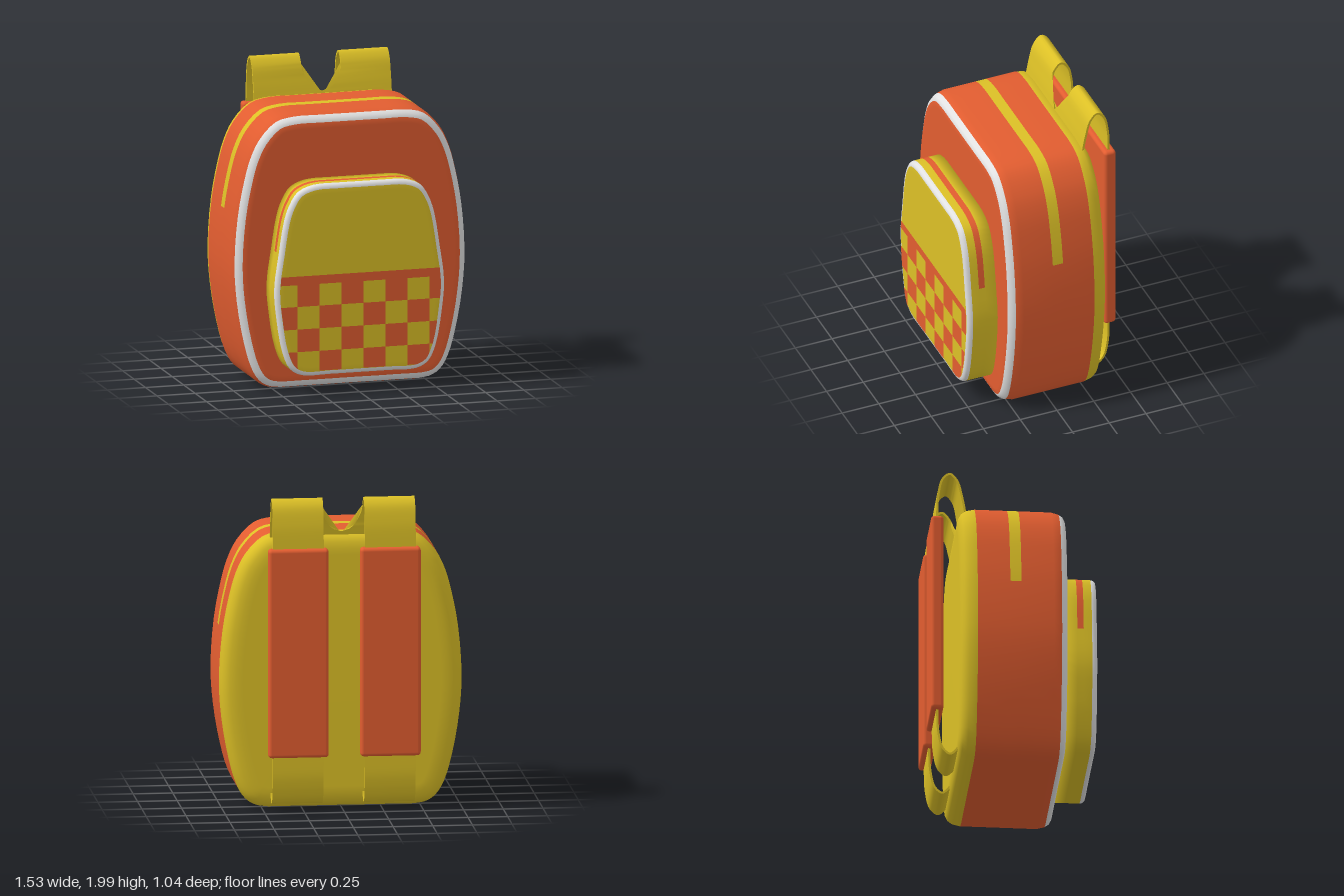
import * as THREE from 'three';
import { mergeGeometries, toCreasedNormals } from 'three/addons/utils/BufferGeometryUtils.js';
import { RoundedBoxGeometry } from 'three/addons/geometries/RoundedBoxGeometry.js';

const mat = (name, color) => new THREE.MeshStandardMaterial({ name, color });

// Closed outline, counter-clockwise, from the right half listed bottom to top
function outline(half, steps = 3) {
  const curve = new THREE.CatmullRomCurve3(half.map(([x, y]) => new THREE.Vector3(x, y, 0)), false, 'centripetal');
  const right = curve.getPoints((half.length - 1) * steps);
  const left = right.slice(1, -1).reverse().map((p) => new THREE.Vector3(-p.x, p.y, 0));
  return [...right, ...left];
}

// Move an outline inwards by d
function inset(pts, d) {
  const n = pts.length;
  return pts.map((p, i) => {
    const t = pts[(i + 1) % n].clone().sub(pts[(i + n - 1) % n]).normalize();
    return new THREE.Vector3(p.x - t.y * d, p.y + t.x * d, 0);
  });
}

// Loft rings [z, inset] with capped ends; paint(z, y) picks a material index for each face
function loft(pts, rings, paint) {
  const n = pts.length, pos = [], faces = [[], [], []];
  for (const [z, d] of rings) for (const p of inset(pts, d)) pos.push(p.x, p.y, z);
  const midY = (pts[0].y + pts[(n / 2)].y) / 2;
  const last = rings.length - 1, back = rings.length * n, front = back + 1;
  pos.push(0, midY, rings[0][0], 0, midY, rings[last][0]);
  for (let i = 0; i < n; i++) {
    const j = (i + 1) % n;
    for (let k = 0; k < last; k++) {
      const a = k * n + i, b = k * n + j;
      const m = paint((rings[k][0] + rings[k + 1][0]) / 2, (pts[i].y + pts[j].y) / 2, k);
      faces[m].push(a, b, b + n, a, b + n, a + n);
    }
    faces[paint(rings[0][0], midY, -1)].push(back, j, i);
    faces[paint(rings[last][0], midY, last)].push(front, last * n + i, last * n + j);
  }
  const g = new THREE.BufferGeometry();
  g.setAttribute('position', new THREE.Float32BufferAttribute(pos, 3));
  g.setIndex(faces.flat());
  let start = 0;
  faces.forEach((f, m) => { g.addGroup(start, f.length, m); start += f.length; });
  g.computeVertexNormals();
  return g;
}

export function createModel() {
  const group = new THREE.Group();
  const orange = mat('orange fabric', 0xe25d30);
  const yellow = mat('yellow fabric', 0xdcc026);
  const white = mat('white piping', 0xe2e2e2);
  const mats = [orange, yellow, white];
  const add = (name, geo, material) => {
    const m = new THREE.Mesh(geo, material);
    m.name = name;
    group.add(m);
    return m;
  };

  // Main bag: yellow back, yellow zip stripe over the top, white front piping
  const bagOutline = outline([[0, 0.006], [0.3, 0.006], [0.52, 0.014], [0.6, 0.06], [0.655, 0.15], [0.705, 0.32],
    [0.75, 0.58], [0.765, 0.82], [0.743, 1.13], [0.70, 1.36], [0.66, 1.5], [0.6, 1.62], [0.49, 1.73],
    [0.37, 1.76], [0.2, 1.762], [0, 1.762]]);
  const bagRings = [[-0.355, 0.14], [-0.354, 0.1], [-0.346, 0.06], [-0.33, 0.03], [-0.3, 0.01], [-0.25, 0],
    [-0.045, 0], [0.025, 0], [0.23, 0], [0.28, 0.013], [0.305, 0.03], [0.318, 0.055], [0.32, 0.09]];
  add('bag', loft(bagOutline, bagRings, (z, y, k) => {
    if (z < -0.25) return 1;
    if (k === 6) return y > 1.13 ? 1 : 0;
    return k === 9 || k === 10 ? 2 : 0;
  }), mats);

  // Front pocket: yellow with orange zip stripe and white piping
  const pocketOutline = outline([[0, 0.13], [0.2, 0.13], [0.37, 0.132], [0.45, 0.175], [0.5, 0.28], [0.54, 0.5],
    [0.555, 0.69], [0.525, 0.92], [0.49, 1.13], [0.455, 1.23], [0.4, 1.31], [0.3, 1.35], [0.15, 1.355], [0, 1.355]]);
  const pocketRings = [[0.3, 0], [0.395, 0], [0.435, 0], [0.487, 0], [0.505, 0.004], [0.516, 0.014], [0.52, 0.03], [0.52, 0.06]];
  add('pocket', loft(pocketOutline, pocketRings, (z, y, k) => {
    if (k === 1) return y > 0.92 ? 0 : 1;
    return k >= 3 && k <= 5 ? 2 : 1;
  }), mats);

  // Checked panel on the pocket, clipped to the inside of the piping
  const edge = inset(pocketOutline, 0.03).slice(0, pocketOutline.length / 2 + 1);
  const halfWidth = (y) => {
    const i = Math.max(1, edge.findIndex((p) => p.y >= y));
    const a = edge[i - 1], b = edge[i];
    return THREE.MathUtils.mapLinear(y, a.y, b.y, a.x, b.x);
  };
  const patch = (x0, x1, y0, y1) => {
    const g = new THREE.PlaneGeometry(x1 - x0, y1 - y0, 1, 8).translate((x0 + x1) / 2, (y0 + y1) / 2, 0.523);
    const p = g.attributes.position;
    for (let i = 0; i < p.count; i++) {
      const w = halfWidth(p.getY(i));
      p.setX(i, THREE.MathUtils.clamp(p.getX(i), -w, w));
    }
    return g;
  };
  const rows = [0.72, 0.58, 0.435, 0.29, 0.163], patches = [patch(-0.6, 0.6, 0.72, 0.775)];
  for (let r = 0; r < 4; r++) {
    for (let c = 0; c < 8; c++) {
      if ((r + c) % 2 === 0) continue;
      const x = -0.555 + c * 0.1435;
      patches.push(patch(x, x + 0.1435, rows[r + 1], rows[r]));
    }
  }
  add('checkedPanel', mergeGeometries(patches), orange);

  // Strap side profile as [distance behind centre, height]
  const path = new THREE.CatmullRomCurve3([[0.305, 1.735], [0.325, 1.84], [0.355, 1.945], [0.4, 1.99], [0.445, 1.955],
    [0.472, 1.85], [0.48, 1.68], [0.48, 1.0], [0.48, 0.36], [0.472, 0.2], [0.445, 0.095], [0.4, 0.057], [0.365, 0.08],
    [0.34, 0.12]].map(([u, v]) => new THREE.Vector3(u, v, 0)), false, 'centripetal');
  const mid = path.getPoints(91);
  const sides = [-0.007, 0.007].map((d) => mid.map((p, i) => {
    const t = path.getTangent(i / 91);
    return new THREE.Vector2(p.x - t.y * d, p.y + t.x * d);
  }));
  const strapShape = new THREE.Shape([...sides[0], ...sides[1].reverse()]);

  for (const s of [1, -1]) {
    const side = s > 0 ? 'left' : 'right';
    const g = new THREE.ExtrudeGeometry(strapShape, { depth: 0.32, bevelEnabled: false })
      .rotateY(Math.PI / 2).translate(s * 0.29 - 0.16, 0, 0);
    // The front legs widen towards the middle and meet in a U-shaped curve
    const p = g.attributes.position;
    for (let i = 0; i < p.count; i++) {
      const y = p.getY(i);
      if (p.getX(i) * s < 0.2 && p.getZ(i) > -0.39 && y > 1.6) {
        const t = THREE.MathUtils.clamp((1.96 - y) / 0.195, 0, 1);
        p.setX(i, s * 0.13 * Math.sqrt(1 - t * t));
      }
    }
    g.clearGroups();
    add(side + 'Strap', toCreasedNormals(g, 0.6), yellow);

    // Shoulder pad around the strap
    const pad = add(side + 'ShoulderPad', new RoundedBoxGeometry(0.38, 1.33, 0.08, 3, 0.022), orange);
    pad.position.set(s * 0.29, 1.025, -0.48);
  }
  return group;
}
